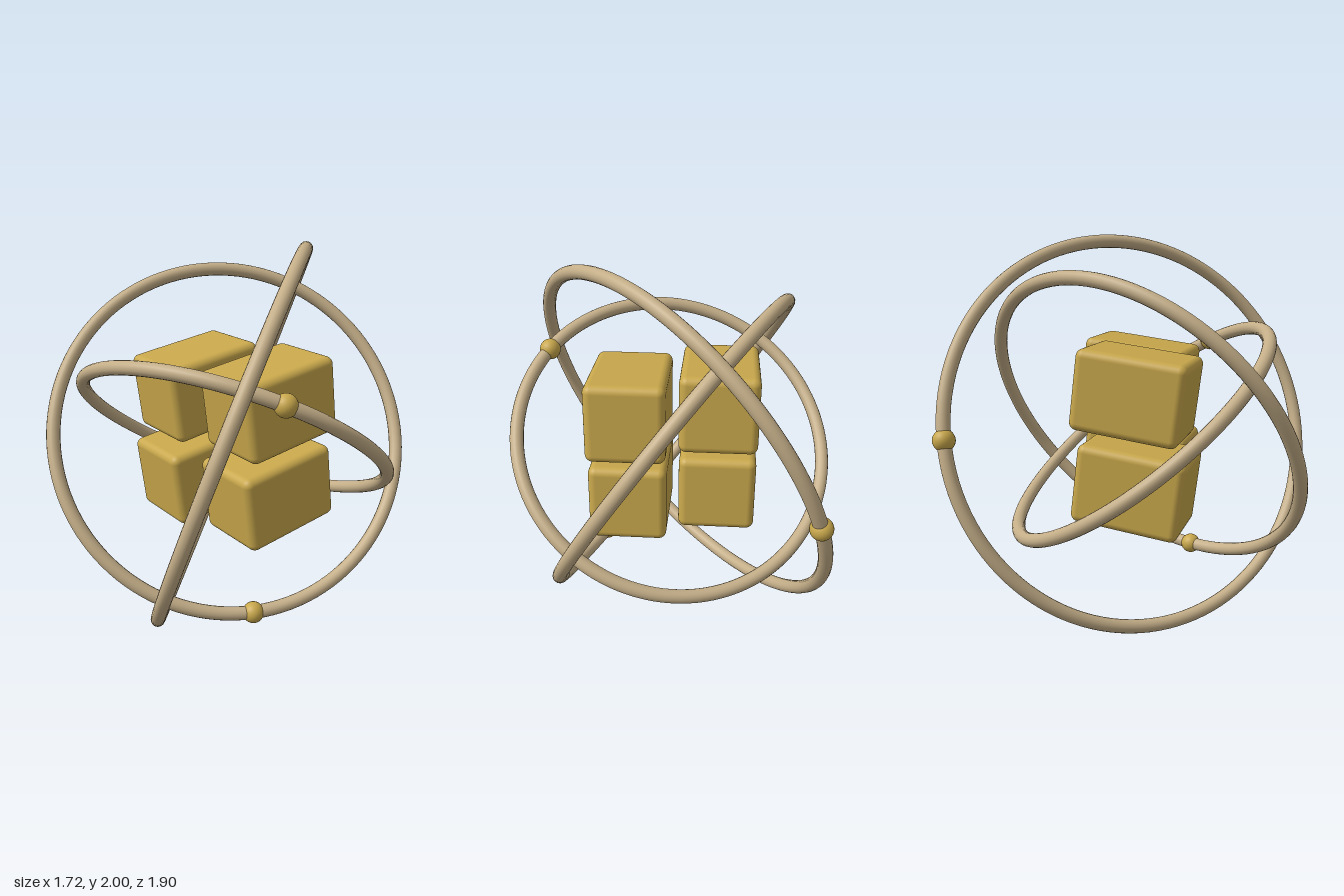
import * as THREE from 'three';
import { RoundedBoxGeometry } from 'three/addons/geometries/RoundedBoxGeometry.js';

export function createModel() {
  const model = new THREE.Group();
  model.name = 'orbitSculpture';

  const gold = new THREE.MeshStandardMaterial({ color: 0xc9a84c });
  gold.name = 'gold';
  const tan = new THREE.MeshStandardMaterial({ color: 0xc4ae88 });
  tan.name = 'tan';

  // Everything is arranged around this centre
  const core = new THREE.Group();
  core.name = 'core';
  core.position.y = 1;
  model.add(core);

  // Two by two blocks, each turned about its own centre
  const blockGeometry = new RoundedBoxGeometry(0.4, 0.405, 0.555, 5, 0.04);
  for (const [row, y] of [['upper', 0.235], ['lower', -0.235]]) {
    for (const [side, x] of [['Left', 0.235], ['Right', -0.235]]) {
      const block = new THREE.Mesh(blockGeometry, gold);
      block.name = `${row}${side}Block`;
      block.position.set(x, y, 0);
      block.rotation.set(0.125, -0.25, 0, 'YXZ');
      core.add(block);
    }
  }

  // Tilted rings, each carrying one bead
  const rings = [
    { name: 'inner', radius: 0.828, normal: [-0.11, 0.785, -0.61], bead: [0.61, 0.4, 0.4] },
    { name: 'middle', radius: 0.928, normal: [0.685, 0.51, 0.515], bead: [0.385, -0.785, 0.31] },
    { name: 'outer', radius: 1.027, normal: [0.818, -0.34, -0.46], bead: [-0.5, 0.05, -0.9] },
  ];
  const beadGeometry = new THREE.SphereGeometry(0.055, 24, 16);
  const zAxis = new THREE.Vector3(0, 0, 1);
  for (const { name, radius, normal, bead } of rings) {
    const axis = new THREE.Vector3(...normal).normalize();
    const ring = new THREE.Mesh(new THREE.TorusGeometry(radius, 0.035, 16, 120), tan);
    ring.name = `${name}Ring`;
    ring.quaternion.setFromUnitVectors(zAxis, axis);
    core.add(ring);

    // Seat the bead exactly on the ring's centreline
    const ball = new THREE.Mesh(beadGeometry, gold);
    ball.name = `${name}Bead`;
    ball.position.set(...bead).projectOnPlane(axis).setLength(radius);
    core.add(ball);
  }

  return model;
}
